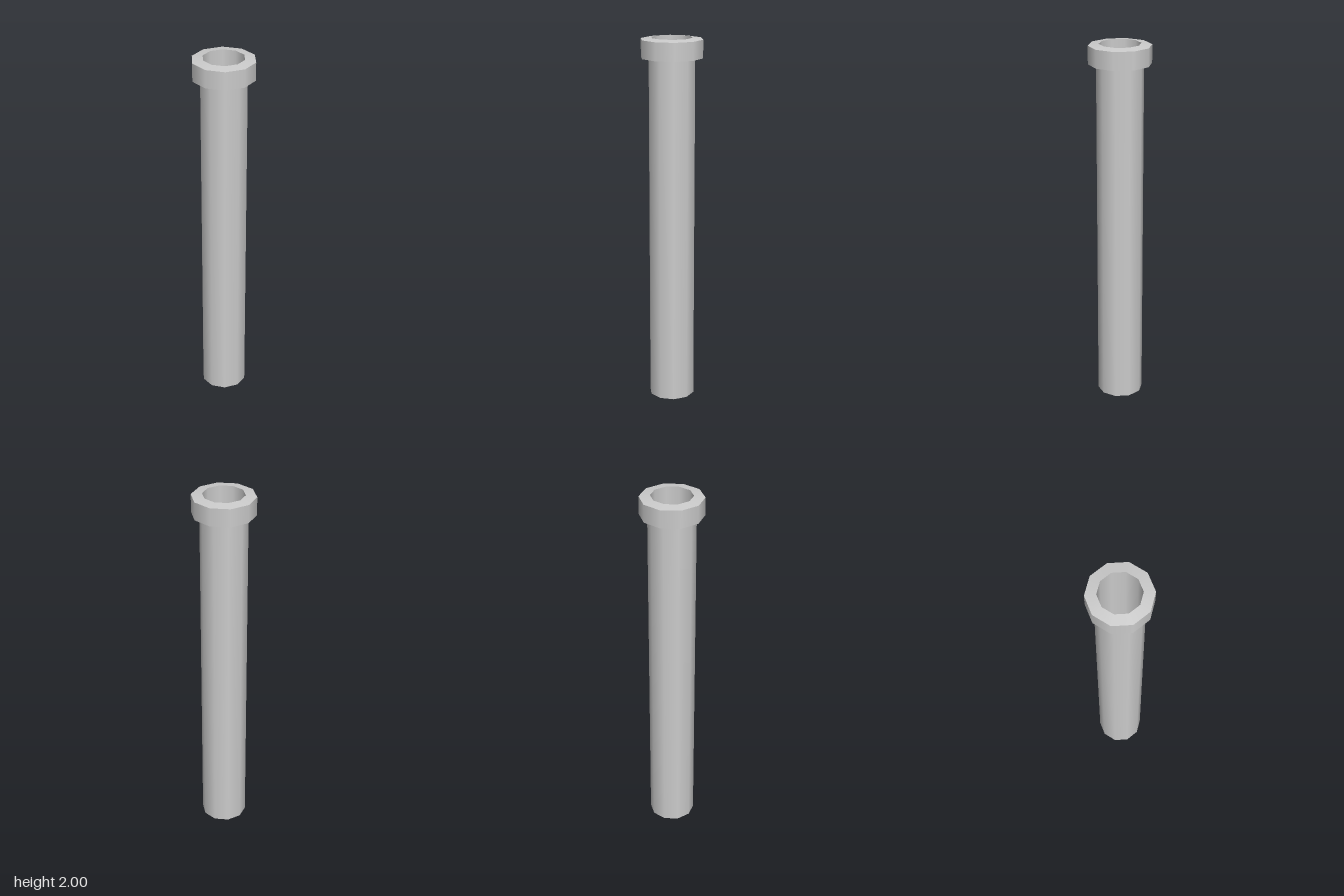
import * as THREE from 'three';

const SIDES = 10;
const material = new THREE.MeshStandardMaterial({ color: 0xcccccc, side: THREE.DoubleSide });

// One smooth ten-sided band between two [radius, height] rings; bands meet in sharp edges
function band(name, from, to) {
  const points = [new THREE.Vector2(...from), new THREE.Vector2(...to)];
  const mesh = new THREE.Mesh(new THREE.LatheGeometry(points, SIDES), material);
  mesh.name = name;
  return mesh;
}

export function createModel() {
  const group = new THREE.Group();
  group.name = 'collaredPipe';

  // Rings of the profile: up the outside, over the rim, down the bore
  const foot = [0.125, 0];
  const neck = [0.125, 1.895];
  const collarBottom = [0.167, 1.895];
  const collarTop = [0.167, 1.992];
  const lip = [0.11, 2];

  group.add(
    band('pipeWall', foot, neck),
    band('collarUnderside', neck, collarBottom),
    band('collarWall', collarBottom, collarTop),
    band('collarRim', collarTop, lip),
    band('bore', lip, foot),
  );
  return group;
}
